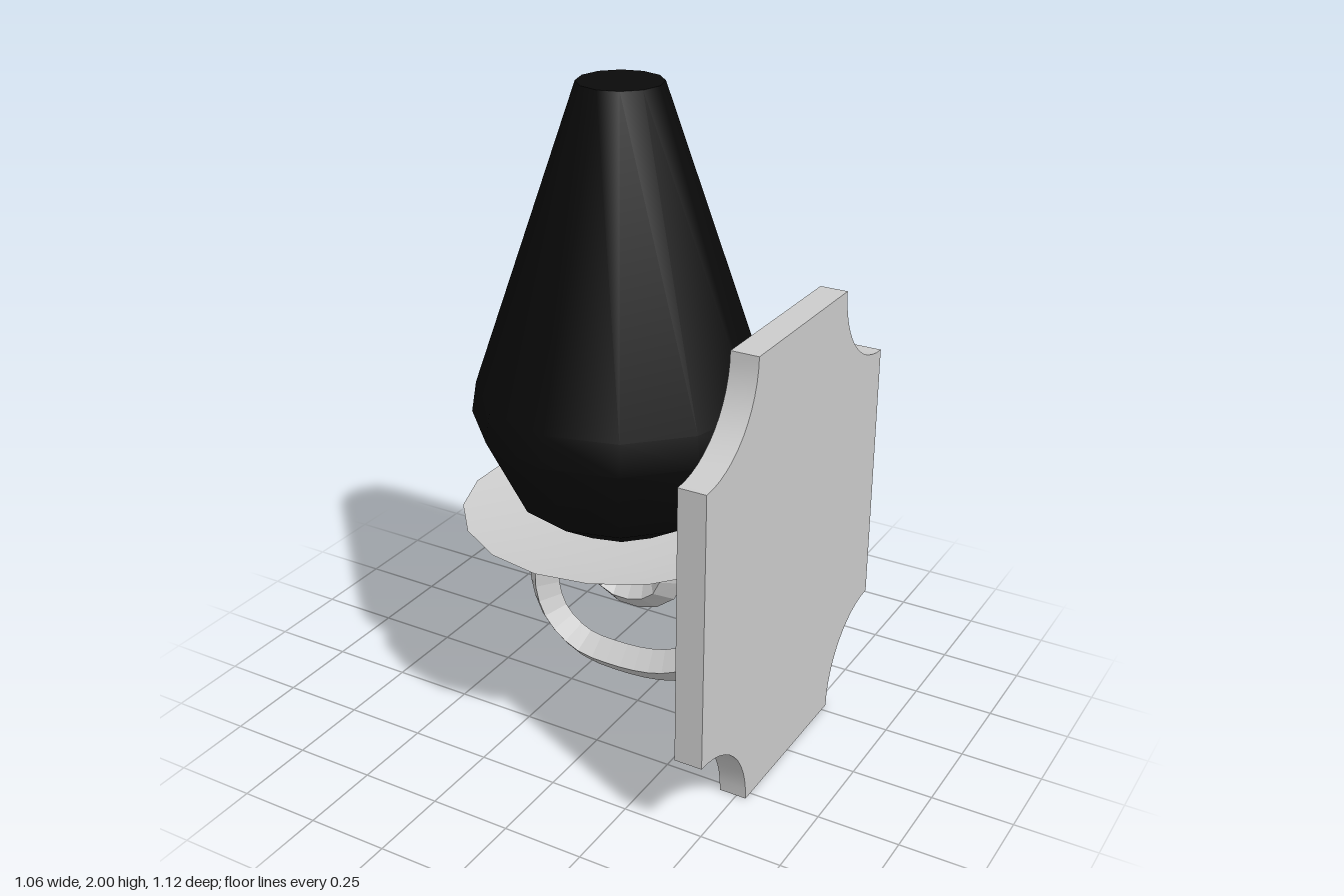
import * as THREE from 'three';
import { toCreasedNormals } from 'three/addons/utils/BufferGeometryUtils.js';

const AXIS_X = -0.055; // vertical axis of the bulb and dish

function lathe(name, profile, sides, material, crease) {
  const points = profile.map(([r, y]) => new THREE.Vector2(r, y));
  const mesh = new THREE.Mesh(toCreasedNormals(new THREE.LatheGeometry(points, sides), crease), material);
  mesh.name = name;
  mesh.position.x = AXIS_X;
  return mesh;
}

export function createModel() {
  const model = new THREE.Group();
  model.name = 'wallLamp';
  const metal = new THREE.MeshStandardMaterial({ color: 0xcccccc });
  const flatMetal = new THREE.MeshStandardMaterial({ color: 0xcccccc, flatShading: true });
  const dark = new THREE.MeshStandardMaterial({ color: 0x0a0a0a });

  // Twelve-sided tapering shade
  model.add(lathe('shade', [
    [0, 0.65], [0.17, 0.655], [0.225, 0.69], [0.32, 0.75], [0.445, 1.005],
    [0.43, 1.1], [0.125, 2], [0, 2],
  ], 12, dark, 0.7));

  // Shallow flared dish on a short foot
  model.add(lathe('dish', [
    [0, 0.62], [0.33, 0.62], [0.33, 0.645], [0.485, 0.69], [0.33, 0.66], [0, 0.655],
  ], 18, metal, 0.4));

  // Wall plate with a concave quarter circle cut from each corner
  const w = 0.56, h = 1.405, r = 0.28;
  const outline = new THREE.Shape();
  outline.moveTo(-w + r, 0);
  outline.lineTo(w - r, 0);
  outline.absarc(w, 0, r, Math.PI, Math.PI / 2, true);
  outline.absarc(w, h, r, Math.PI * 1.5, Math.PI, true);
  outline.absarc(-w, h, r, 0, -Math.PI / 2, true);
  outline.absarc(-w, 0, r, Math.PI / 2, 0, true);
  const plateGeometry = new THREE.ExtrudeGeometry(outline, { depth: 0.085, bevelEnabled: false, curveSegments: 6 });
  const plate = new THREE.Mesh(toCreasedNormals(plateGeometry, 0.5), metal);
  plate.name = 'wallPlate';
  plate.rotation.y = Math.PI / 2;
  plate.position.x = 0.445;
  model.add(plate);

  // Scrolled arm: square bar set on edge, from the plate round under the dish
  const path = new THREE.CatmullRomCurve3([
    [0.48, 0.46], [0.3, 0.295], [0.18, 0.2], [0.08, 0.16], [-0.06, 0.145], [-0.2, 0.16],
    [-0.305, 0.24], [-0.345, 0.36], [-0.32, 0.48], [-0.25, 0.56], [-0.14, 0.615], [0, 0.63],
    [0.085, 0.61], [0.115, 0.53], [0.075, 0.435], [-0.03, 0.4], [-0.105, 0.425], [-0.09, 0.47],
  ].map(([x, y]) => new THREE.Vector3(x, y, 0)));
  const arm = new THREE.Group();
  arm.name = 'scrollArm';
  const bar = new THREE.Mesh(new THREE.TubeGeometry(path, 40, 0.055, 4), flatMetal);
  bar.name = 'scrollBar';
  const tip = new THREE.Mesh(new THREE.CircleGeometry(0.055, 4), flatMetal);
  tip.name = 'scrollTip';
  tip.position.copy(path.getPointAt(1));
  tip.lookAt(path.getPointAt(1).add(path.getTangentAt(1)));
  arm.add(bar, tip);
  model.add(arm);

  return model;
}
